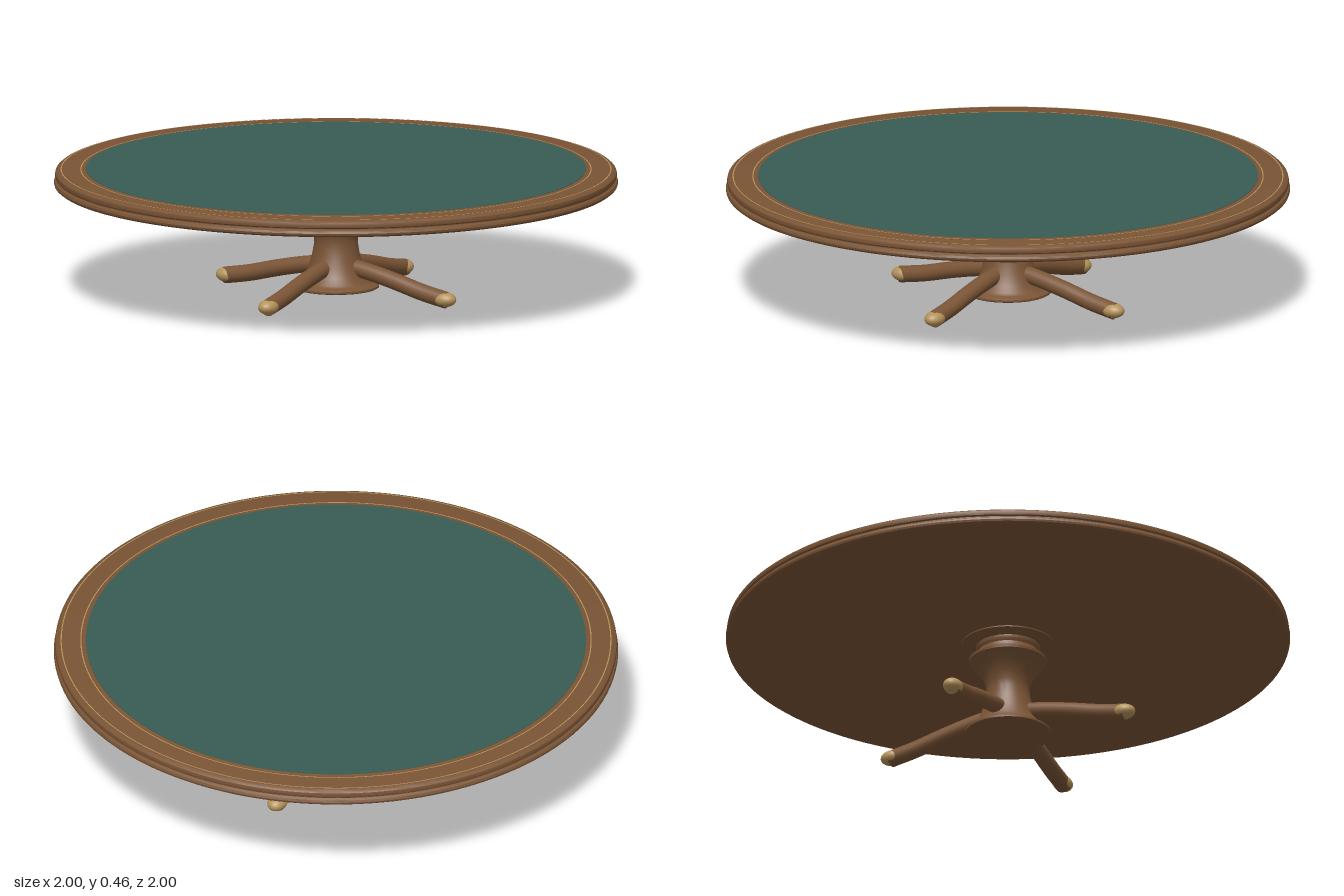
import * as THREE from 'three';
import { toCreasedNormals } from 'three/addons/utils/BufferGeometryUtils.js';

const wood = new THREE.MeshStandardMaterial({ color: 0x7a5435 });
wood.name = 'walnut wood';
const felt = new THREE.MeshStandardMaterial({ color: 0x385c54 });
felt.name = 'green felt';
const brass = new THREE.MeshStandardMaterial({ color: 0xb4935a });
brass.name = 'brass';

function add(parent, name, geometry, material) {
  const mesh = new THREE.Mesh(geometry, material);
  mesh.name = name;
  parent.add(mesh);
  return mesh;
}

// Turned part from [radius, height] points, listed bottom to top
function turned(points, segments) {
  const profile = points.map(([r, y]) => new THREE.Vector2(r, y));
  return toCreasedNormals(new THREE.LatheGeometry(profile, segments), 0.6);
}

function createTop() {
  const top = new THREE.Group();
  top.name = 'tableTop';

  // Board with a double-rounded moulded edge
  add(top, 'moulded board', turned([
    [0, 0.4], [0.975, 0.4], [0.99, 0.403], [0.998, 0.409], [1, 0.416],
    [0.997, 0.424], [0.989, 0.429], [0.989, 0.432], [0.994, 0.436],
    [0.996, 0.443], [0.994, 0.452], [0.987, 0.458], [0.975, 0.461],
    [0.9, 0.461], [0.888, 0.464], [0.88, 0.461], [0, 0.461],
  ], 128), wood);

  // Playing surface
  const cloth = add(top, 'felt surface', new THREE.CylinderGeometry(0.886, 0.886, 0.005, 128), felt);
  cloth.position.y = 0.4625;

  // Fine inlaid lines round the border
  for (const [name, r] of [['inner inlay', 0.904], ['outer inlay', 0.974]]) {
    const ring = add(top, name, new THREE.RingGeometry(r - 0.002, r + 0.002, 128), brass);
    ring.rotation.x = -Math.PI / 2;
    ring.position.y = 0.4618;
  }
  return top;
}

function createPedestal() {
  const pedestal = new THREE.Group();
  pedestal.name = 'pedestal';
  add(pedestal, 'turned column', turned([
    [0, 0.035], [0.146, 0.035], [0.153, 0.039], [0.153, 0.046], [0.146, 0.051],
    [0.133, 0.054], [0.122, 0.062], [0.108, 0.085], [0.095, 0.12], [0.084, 0.16],
    [0.077, 0.2], [0.079, 0.225], [0.09, 0.255], [0.108, 0.285], [0.129, 0.308],
    [0.138, 0.318], [0.139, 0.328], [0.131, 0.334], [0.115, 0.338], [0.108, 0.348],
    [0.107, 0.358], [0.113, 0.368], [0.113, 0.378], [0.11, 0.401],
  ], 48), wood);
  add(pedestal, 'mounting plate', turned([
    [0.1, 0.377], [0.13, 0.38], [0.165, 0.385], [0.165, 0.389], [0.1, 0.389],
  ], 48), wood);
  return pedestal;
}

// Gently bowed round leg reaching along +x, ending in a brass toe
function createLeg() {
  const leg = new THREE.Group();
  const path = new THREE.CatmullRomCurve3([
    [0.02, 0.121], [0.12, 0.108], [0.24, 0.083], [0.36, 0.053], [0.462, 0.034],
  ].map(([x, y]) => new THREE.Vector3(x, y, 0)));
  add(leg, 'leg shaft', new THREE.TubeGeometry(path, 20, 0.03, 20), wood);

  // Close the outer end of the shaft
  const cap = add(leg, 'leg end', new THREE.CircleGeometry(0.03, 20), wood);
  cap.position.copy(path.getPoint(1));
  cap.lookAt(cap.position.clone().add(path.getTangent(1)));

  const toe = add(leg, 'brass toe', new THREE.SphereGeometry(1, 24, 16), brass);
  toe.scale.set(0.044, 0.027, 0.034);
  toe.position.set(0.453, 0.037, 0);
  return leg;
}

export function createModel() {
  const table = new THREE.Group();
  table.name = 'roundTable';
  table.add(createTop(), createPedestal());
  for (let i = 0; i < 4; i++) {
    const leg = createLeg();
    leg.name = 'leg' + (i + 1);
    leg.rotation.y = i * Math.PI / 2;
    table.add(leg);
  }
  // Rest the lowest part of the legs on the floor
  const box = new THREE.Box3().setFromObject(table, true);
  table.children.forEach((part) => { part.position.y -= box.min.y; });
  return table;
}
